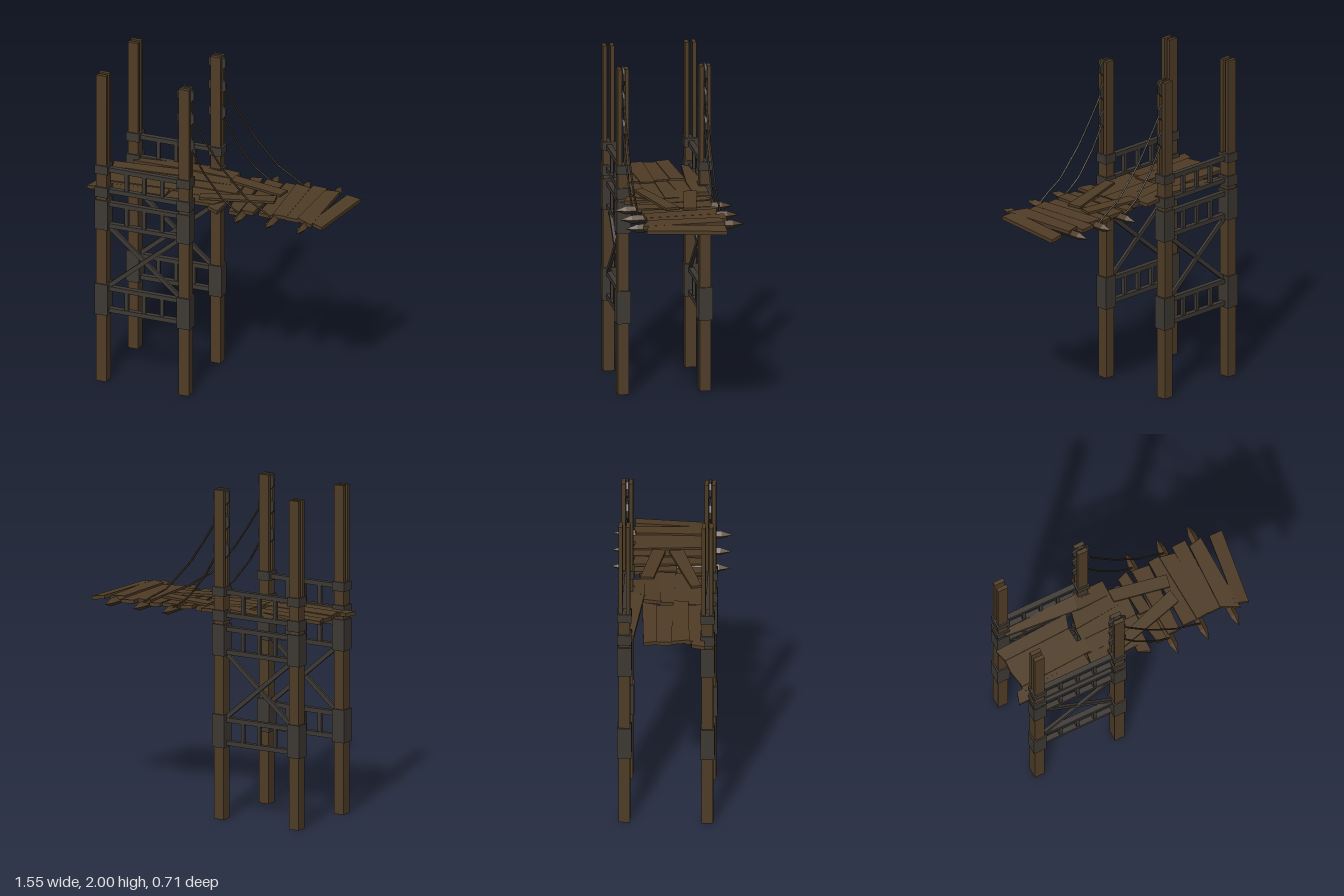
import * as THREE from 'three';

const wood = new THREE.MeshStandardMaterial({ color: 0x4f3c26, flatShading: true });
wood.name = 'weathered wood';
const iron = new THREE.MeshStandardMaterial({ color: 0x3d3833, flatShading: true });
iron.name = 'dark iron';
const ropeMat = new THREE.MeshStandardMaterial({ color: 0x3c2f1e });
ropeMat.name = 'rope';

const POST_X = [-0.67, -0.145];
const POST_Z = 0.245;

function add(parent, name, geometry, material, x = 0, y = 0, z = 0) {
  const mesh = new THREE.Mesh(geometry, material);
  mesh.name = name;
  mesh.position.set(x, y, z);
  parent.add(mesh);
  return mesh;
}

const box = (parent, name, mat, w, h, d, x, y, z) =>
  add(parent, name, new THREE.BoxGeometry(w, h, d), mat, x, y, z);

// Flat board from four [x, z] corners; drop lowers its +x end
function plank(parent, name, c, y, drop = 0, thick = 0.022) {
  const shape = new THREE.Shape();
  for (let i = 0; i < 8; i += 2) {
    if (i) shape.lineTo(c[i], -c[i + 1]);
    else shape.moveTo(c[i], -c[i + 1]);
  }
  const g = new THREE.ExtrudeGeometry(shape, { depth: thick, bevelEnabled: false });
  g.rotateX(-Math.PI / 2);
  const p = g.attributes.position;
  const xs = [c[0], c[2], c[4], c[6]];
  const x0 = Math.min(...xs), span = Math.max(...xs) - x0;
  for (let i = 0; i < p.count; i++) p.setY(i, p.getY(i) - drop * (p.getX(i) - x0) / span);
  g.computeVertexNormals();
  add(parent, name, g, wood, 0, y, 0);
}

// Post split by a slot at the top, with iron collars
function post(x, z) {
  const g = new THREE.Group();
  g.name = 'post';
  box(g, 'postBase', wood, 0.065, 1.4, 0.067, x, 0.7, z);
  for (const s of [-1, 1]) box(g, 'postCheek', wood, 0.065, 0.59, 0.023, x, 1.695, z + s * 0.022);
  for (const [y0, y1] of [[0.435, 0.635], [0.99, 1.18], [1.2, 1.265], [1.35, 1.405]])
    box(g, 'collar', iron, 0.083, y1 - y0, 0.083, x, (y0 + y1) / 2, z);
  return g;
}

// Railings and cross brace along one side
function sideFrame(z) {
  const g = new THREE.Group();
  g.name = 'sideFrame';
  const mid = (POST_X[0] + POST_X[1]) / 2, span = POST_X[1] - POST_X[0];
  for (const [lo, hi] of [[0.462, 0.602], [1.012, 1.152], [1.237, 1.375]]) {
    for (const y of [lo, hi]) box(g, 'rail', iron, span, 0.028, 0.032, mid, y, z);
    for (const dx of [-0.112, 0, 0.112])
      box(g, 'baluster', iron, 0.022, hi - lo, 0.022, mid + dx, (lo + hi) / 2, z);
  }
  const dx = 0.46, dy = 0.39;
  for (const s of [-1, 1]) {
    const brace = box(g, 'crossBrace', iron, Math.hypot(dx, dy), 0.026, 0.018, mid, 0.808, z + s * 0.004);
    brace.rotation.z = s * Math.atan2(dy, dx);
  }
  return g;
}

// Pulley wheels in the slot and the ropes holding the walkway
function rigging(z) {
  const g = new THREE.Group();
  g.name = 'rigging';
  for (const y of [1.945, 1.795, 1.625]) {
    const wheel = new THREE.CylinderGeometry(0.058, 0.058, 0.014, 8);
    wheel.rotateY(Math.PI / 8);
    wheel.rotateX(Math.PI / 2);
    add(g, 'pulley', wheel, iron, POST_X[1], y, z);
  }
  const lines = [
    [[-0.1, 1.785], [-0.01, 1.645], [0.08, 1.515], [0.24, 1.34], [0.36, 1.27], [0.405, 1.235]],
    [[-0.12, 1.61], [-0.03, 1.455], [0.085, 1.31], [0.16, 1.255], [0.205, 1.23]],
  ];
  for (const line of lines) {
    const path = new THREE.CurvePath();
    for (let i = 1; i < line.length; i++) {
      path.add(new THREE.LineCurve3(
        new THREE.Vector3(...line[i - 1], 0), new THREE.Vector3(...line[i], 0)));
    }
    add(g, 'rope', new THREE.TubeGeometry(path, 20, 0.0055, 6), ropeMat, 0, 0, z);
  }
  return g;
}

// Pointed diamond-section beam under the walkway
function spikedBeam(x) {
  const g = new THREE.Group();
  g.name = 'spikedBeam';
  const profile = [[0, -0.355], [0.025, -0.285], [0.025, 0.285], [0, 0.355]];
  const geo = new THREE.LatheGeometry(profile.map(([r, y]) => new THREE.Vector2(r, y)), 4);
  geo.rotateX(Math.PI / 2);
  add(g, 'beam', geo, wood, x, 1.22, 0);
  return g;
}

function deck() {
  const g = new THREE.Group();
  g.name = 'deck';
  // Lengthwise boards between the posts: corners, height, drop
  const floor = [
    [[-0.757, -0.13, -0.285, -0.153, -0.312, -0.065, -0.735, -0.05], 1.222, -0.012],
    [[-0.735, -0.052, -0.312, -0.067, -0.303, 0.032, -0.737, 0.03], 1.218, -0.01],
    [[-0.737, 0.03, -0.26, 0.03, -0.26, 0.118, -0.715, 0.14], 1.224, -0.008],
    [[-0.757, 0.152, -0.3, 0.115, -0.292, 0.21, -0.78, 0.23], 1.215, -0.012],
    [[-0.72, 0.12, -0.3, 0.1, -0.3, 0.14, -0.72, 0.17], 1.218, -0.008],
    [[-0.665, -0.235, -0.2, -0.235, -0.21, -0.142, -0.66, -0.19], 1.215, -0.03],
    [[-0.2, -0.24, 0, -0.245, 0, -0.15, -0.215, -0.14], 1.245, 0.015],
    [[-0.252, -0.152, 0.07, -0.18, 0.085, -0.075, -0.275, -0.04], 1.235, 0.008],
    [[-0.275, -0.045, 0.09, -0.08, 0.085, 0.03, -0.275, 0.035], 1.228, 0],
    [[-0.26, 0.03, 0.085, 0.03, 0.08, 0.12, -0.28, 0.125], 1.224, 0],
    [[-0.282, 0.12, 0.07, 0.115, 0.01, 0.205, -0.292, 0.215], 1.222, 0],
  ];
  for (const [c, y, drop] of floor) plank(g, 'floorBoard', c, y, drop);
  // Crosswise boards on the overhang
  const cross = [
    [[0.0, -0.17, 0.08, -0.18, 0.065, 0.272, -0.01, 0.24], 1.22],
    [[0.085, -0.212, 0.15, -0.235, 0.178, 0.035, 0.105, 0.04], 1.23],
    [[0.085, 0.03, 0.175, 0.03, 0.185, 0.235, 0.125, 0.24], 1.216],
    [[0.18, -0.225, 0.29, -0.215, 0.275, 0.225, 0.2, 0.225], 1.228],
    [[0.295, -0.235, 0.365, -0.24, 0.395, 0.21, 0.305, 0.212], 1.222],
    [[0.365, -0.23, 0.46, -0.215, 0.48, 0.205, 0.395, 0.215], 1.23],
    [[0.46, -0.258, 0.55, -0.262, 0.555, 0.205, 0.475, 0.21], 1.224],
    [[0.555, -0.215, 0.64, -0.235, 0.658, 0.258, 0.55, 0.205], 1.23],
  ];
  for (const [c, y] of cross) plank(g, 'walkwayBoard', c, y, 0.006);
  plank(g, 'endBoard', [0.69, -0.225, 0.775, -0.228, 0.72, 0.245, 0.64, 0.222], 1.226, 0.022);
  // Loose boards lying on top
  plank(g, 'looseBoard', [0, -0.175, 0.355, -0.112, 0.34, -0.035, 0, -0.095], 1.25, 0.006, 0.014);
  plank(g, 'looseBoard', [-0.1, 0.13, 0.33, -0.015, 0.345, 0.07, -0.085, 0.19], 1.249, 0.002, 0.014);
  return g;
}

export function createModel() {
  const model = new THREE.Group();
  model.name = 'brokenDrawbridgeTower';
  for (const z of [-POST_Z, POST_Z]) {
    for (const x of POST_X) model.add(post(x, z));
    model.add(sideFrame(z), rigging(z));
  }
  for (const x of [0.205, 0.405, 0.605]) model.add(spikedBeam(x));
  model.add(deck());
  return model;
}
